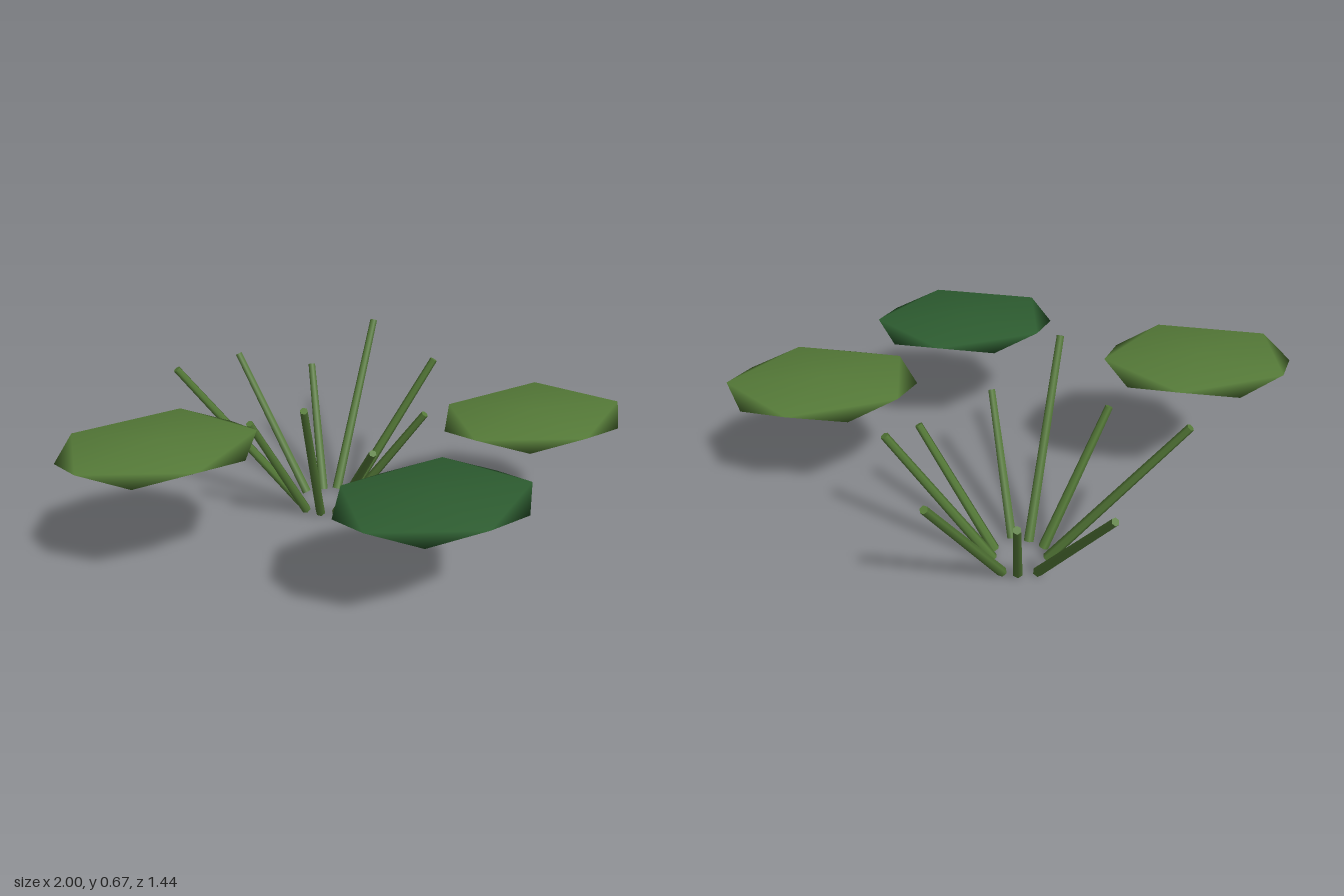
import * as THREE from 'three';

const leafGreen = new THREE.MeshStandardMaterial({ name: 'leafGreen', color: 0x557a38 });
const darkGreen = new THREE.MeshStandardMaterial({ name: 'darkGreen', color: 0x2d5c30 });

// Twenty-sided ball standing on a corner, with smooth normals; flattened into pads by scale
function padGeometry() {
  const geo = new THREE.IcosahedronGeometry(1, 0);
  geo.rotateZ(-Math.atan(2 / (1 + Math.sqrt(5))));
  geo.setAttribute('normal', geo.getAttribute('position').clone());
  return geo;
}

// Tapered stalk between two points
function stalk(base, tip) {
  const a = new THREE.Vector3(...base), b = new THREE.Vector3(...tip);
  const dir = b.clone().sub(a);
  const mesh = new THREE.Mesh(new THREE.CylinderGeometry(0.014, 0.019, dir.length(), 6), leafGreen);
  mesh.position.copy(a).add(b).multiplyScalar(0.5);
  mesh.quaternion.setFromUnitVectors(new THREE.Vector3(0, 1, 0), dir.normalize());
  return mesh;
}

export function createModel() {
  const model = new THREE.Group();
  model.name = 'waterPlants';

  // Floating pads
  const geo = padGeometry();
  const pads = [
    ['rightPad', -0.667, 0.575, 0.06, leafGreen],
    ['leftPad', 0.664, 0.515, 0.08, leafGreen],
    ['frontPad', 0.15, 0.505, 0.495, darkGreen],
  ];
  for (const [name, x, y, z, material] of pads) {
    const pad = new THREE.Mesh(geo, material);
    pad.name = name;
    pad.position.set(x, y, z);
    pad.scale.set(0.373, 0.033, 0.259);
    model.add(pad);
  }

  // Clump of reeds fanning out: base x, base z, tip x, tip y, tip z
  const reeds = new THREE.Group();
  reeds.name = 'reeds';
  const stalks = [
    [0.085, -0.317, 0.425, 0.58, -0.327],
    [0.075, -0.275, 0.325, 0.465, -0.12],
    [0.01, -0.22, 0.065, 0.455, 0.09],
    [-0.05, -0.24, -0.18, 0.665, 0.105],
    [-0.1, -0.275, -0.33, 0.515, -0.122],
    [-0.11, -0.33, -0.545, 0.625, -0.4],
    [-0.07, -0.398, -0.27, 0.515, -0.705],
    [0, -0.4, 0.02, 0.455, -0.66],
    [0.055, -0.39, 0.295, 0.597, -0.71],
  ];
  stalks.forEach(([bx, bz, tx, ty, tz], i) => {
    const reed = stalk([bx, 0.012, bz], [tx, ty, tz]);
    reed.name = `reed${i + 1}`;
    reeds.add(reed);
  });
  model.add(reeds);
  return model;
}
